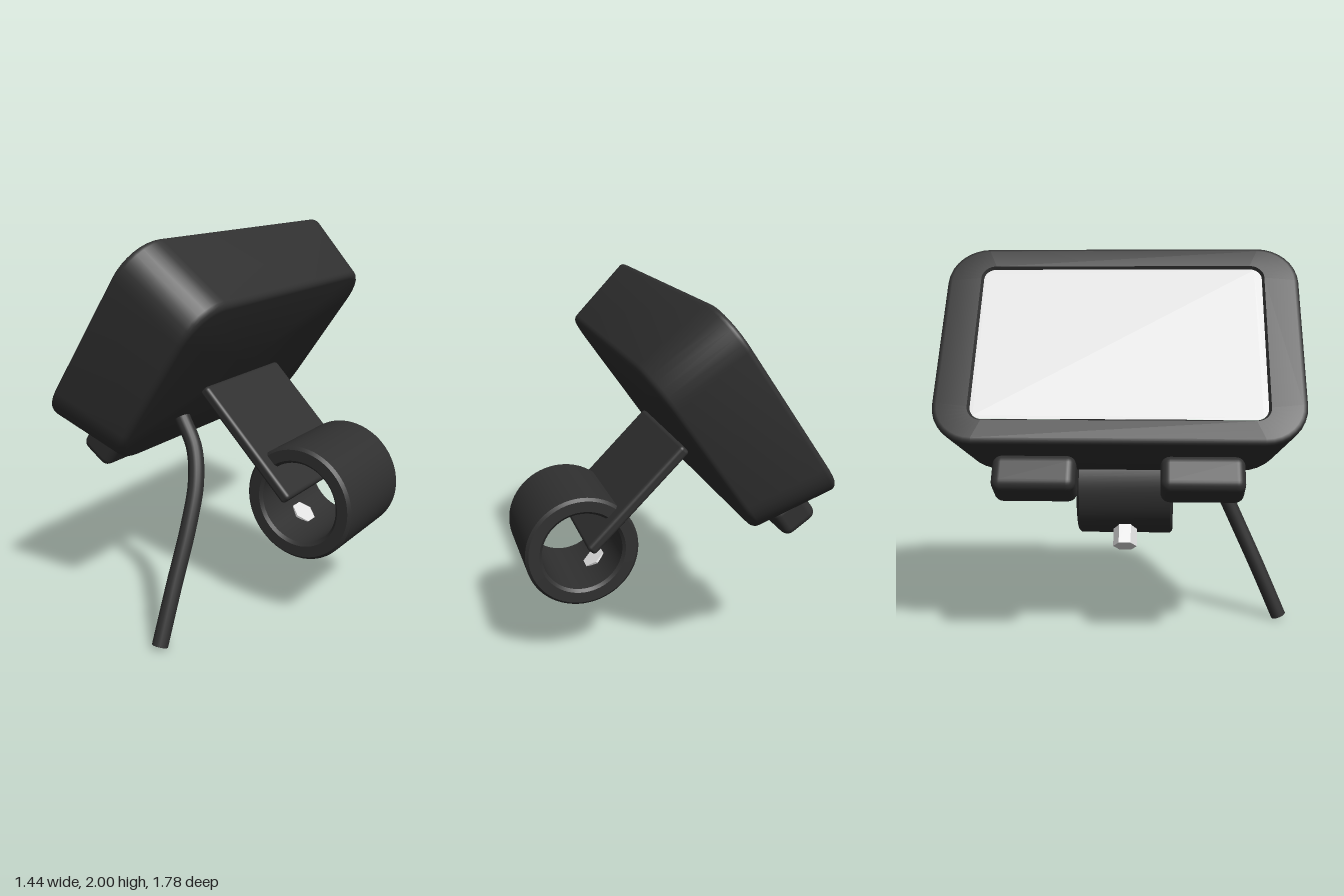
import * as THREE from 'three';
import { toCreasedNormals } from 'three/addons/utils/BufferGeometryUtils.js';
import { RoundedBoxGeometry } from 'three/addons/geometries/RoundedBoxGeometry.js';

const plastic = new THREE.MeshStandardMaterial({ color: 0x303030 });
plastic.name = 'black plastic';
const glass = new THREE.MeshStandardMaterial({ color: 0xdfdfdf });
glass.name = 'grey screen';
const steel = new THREE.MeshStandardMaterial({ color: 0xe2e2e2 });
steel.name = 'light steel';

function part(name, geometry, material, parent) {
  const mesh = new THREE.Mesh(geometry, material);
  mesh.name = name;
  parent.add(mesh);
  return mesh;
}

// Counter-clockwise rounded rectangle
function roundedLoop(hw, hh, r, steps = 8) {
  const pts = [];
  for (let c = 0; c < 4; c++) {
    const cx = (c === 0 || c === 3 ? 1 : -1) * (hw - r);
    const cy = (c < 2 ? 1 : -1) * (hh - r);
    for (let i = 0; i <= steps; i++) {
      const a = (c + i / steps) * Math.PI / 2;
      pts.push(new THREE.Vector2(cx + r * Math.cos(a), cy + r * Math.sin(a)));
    }
  }
  return pts;
}

// Skin over rounded-rectangle sections [halfWidth, halfHeight, radius, z], closed at the back
function loft(sections) {
  const pos = [], index = [];
  let n = 0;
  for (const [hw, hh, r, z] of sections) {
    const loop = roundedLoop(hw, hh, r);
    n = loop.length;
    loop.forEach(p => pos.push(p.x, p.y, z));
  }
  for (let k = 0; k < sections.length - 1; k++) {
    for (let i = 0; i < n; i++) {
      const j = (i + 1) % n, a = k * n, b = a + n;
      index.push(a + i, b + i, a + j, a + j, b + i, b + j);
    }
  }
  const last = (sections.length - 1) * n, centre = pos.length / 3;
  pos.push(0, 0, sections[sections.length - 1][3]);
  for (let i = 0; i < n; i++) index.push(centre, last + (i + 1) % n, last + i);
  const g = new THREE.BufferGeometry();
  g.setAttribute('position', new THREE.Float32BufferAttribute(pos, 3));
  g.setIndex(index);
  return toCreasedNormals(g, 0.6);
}

function buildDisplay() {
  const display = new THREE.Group();
  display.name = 'display';

  // Tapered housing with softened edges and a shallow screen recess
  const depth = 0.435, fillet = 0.03, steps = 4;
  const sections = [[0.706, 0.432, 0.06, -0.016], [0.718, 0.444, 0.072, 0]];
  const ring = (t, inset) => sections.push([
    0.895 - 0.085 * t / depth - inset, 0.567 - 0.06 * t / depth - inset, 0.21 - inset, -t]);
  for (let i = 0; i <= steps; i++) {
    const a = i / steps * Math.PI / 2;
    ring(fillet * (1 - Math.cos(a)), fillet * (1 - Math.sin(a)));
  }
  for (let i = 0; i <= steps; i++) {
    const a = i / steps * Math.PI / 2;
    ring(depth - fillet * (1 - Math.sin(a)), fillet * (1 - Math.cos(a)));
  }
  part('housing', loft(sections), plastic, display);

  // Screen
  const screenShape = new THREE.Shape(roundedLoop(0.706, 0.432, 0.06));
  part('screen', new THREE.ShapeGeometry(screenShape), glass, display).position.z = -0.012;

  // Two buttons below the housing
  for (const s of [-1, 1]) {
    const button = part(s > 0 ? 'leftButton' : 'rightButton',
      new RoundedBoxGeometry(0.4, 0.18, 0.2, 4, 0.045), plastic, display);
    button.position.set(s * 0.4, -0.65, -0.212);
  }

  // Lean the display back so that it faces -x and up
  const a = THREE.MathUtils.degToRad(55);
  const up = new THREE.Vector3(Math.cos(a), Math.sin(a), 0);
  const out = new THREE.Vector3(-Math.sin(a), Math.cos(a), 0);
  display.quaternion.setFromRotationMatrix(
    new THREE.Matrix4().makeBasis(new THREE.Vector3(0, 0, 1), up, out));
  display.position.set(-0.407, 1.55, 0);
  return display;
}

function buildClamp() {
  const clamp = new THREE.Group();
  clamp.name = 'clamp';

  // Bracket plate reaching from the housing into the ring
  const plate = part('bracketPlate', new RoundedBoxGeometry(0.715, 0.06, 0.685, 3, 0.02), plastic, clamp);
  plate.position.set(0.142, 0.961, 0);
  plate.rotation.z = -Math.PI / 4;

  // Open ring with bevelled rims
  const R = 0.3, r = 0.213, h = 0.273, b = 0.015;
  const profile = [[r, -h + b], [r + b, -h], [R - b, -h], [R, -h + b],
    [R, h - b], [R - b, h], [r + b, h], [r, h - b], [r, -h + b]]
    .map(([x, y]) => new THREE.Vector2(x, y));
  const ring = part('clampRing', toCreasedNormals(new THREE.LatheGeometry(profile, 64), 0.6), plastic, clamp);
  ring.rotation.x = Math.PI / 2;
  ring.position.set(0.42, 0.679, 0);

  // Hexagonal screw through the lower ring wall
  const dir = new THREE.Vector3(-0.573, -0.819, 0).normalize();
  const hexagon = toCreasedNormals(new THREE.CylinderGeometry(0.068, 0.068, 0.205, 6), 0.6);
  const screw = part('clampScrew', hexagon, steel, clamp);
  screw.quaternion.setFromUnitVectors(new THREE.Vector3(0, 1, 0), dir);
  screw.position.set(0.42, 0.68, 0).addScaledVector(dir, 0.304);
  return clamp;
}

function buildCable() {
  const cable = new THREE.Group();
  cable.name = 'cable';
  const curve = new THREE.CatmullRomCurve3([
    [-0.175, 1.078, 0.43], [-0.083, 0.94, 0.457], [-0.03, 0.78, 0.517],
    [-0.013, 0.58, 0.607], [-0.015, 0.3, 0.735], [-0.017, 0.02, 0.857],
  ].map(p => new THREE.Vector3(...p)));
  part('cableSheath', new THREE.TubeGeometry(curve, 48, 0.041, 16), plastic, cable);
  for (const t of [0, 1]) {
    const end = part('cableEnd', new THREE.CircleGeometry(0.041, 16), plastic, cable);
    const facing = curve.getTangent(t).multiplyScalar(t ? 1 : -1);
    end.quaternion.setFromUnitVectors(new THREE.Vector3(0, 0, 1), facing);
    end.position.copy(curve.getPoint(t));
  }
  return cable;
}

export function createModel() {
  const model = new THREE.Group();
  model.name = 'clampedDisplay';
  model.add(buildDisplay(), buildClamp(), buildCable());
  return model;
}
